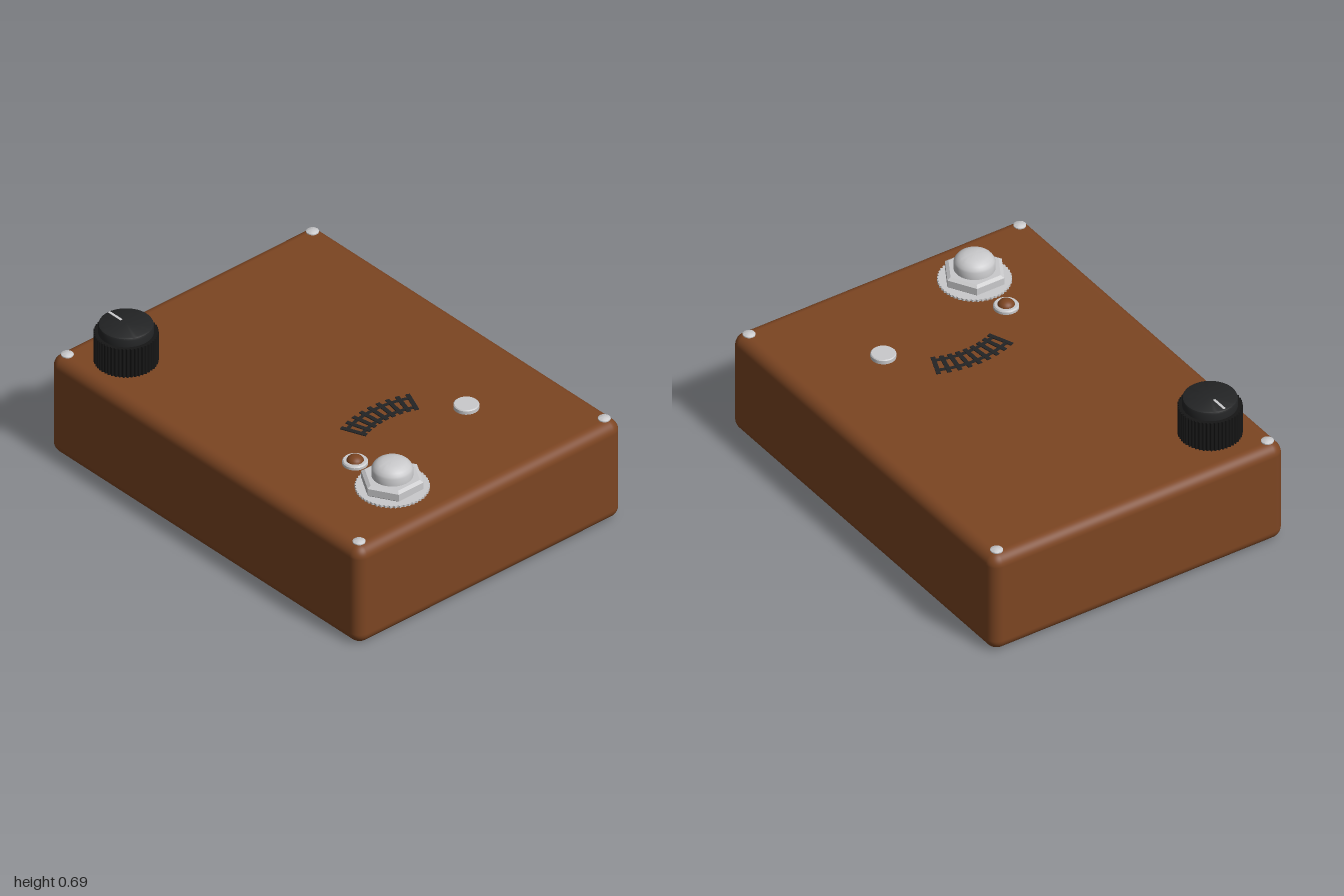
import * as THREE from 'three';
import { toCreasedNormals } from 'three/addons/utils/BufferGeometryUtils.js';
import { RoundedBoxGeometry } from 'three/addons/geometries/RoundedBoxGeometry.js';

const TOP = 0.5; // height of the case lid

function material(name, color) {
  const m = new THREE.MeshStandardMaterial({ color });
  m.name = name;
  return m;
}

function add(parent, name, geometry, mat, x = 0, y = 0, z = 0) {
  const mesh = new THREE.Mesh(geometry, mat);
  mesh.name = name;
  mesh.position.set(x, y, z);
  parent.add(mesh);
  return mesh;
}

// Turned part from [radius, height] pairs, bottom to top, with sharp creases kept
function turned(profile, sides = 40, crease = 0.6, start = 0) {
  const points = profile.map(([r, y]) => new THREE.Vector2(r, y));
  return toCreasedNormals(new THREE.LatheGeometry(points, sides, start), crease);
}

// Upright disc with a finely toothed rim
function toothedDisc(inner, outer, teeth, height) {
  const shape = new THREE.Shape();
  for (let i = 0; i < teeth * 4; i++) {
    const a = (i / (teeth * 4)) * Math.PI * 2;
    const r = i % 4 < 2 ? outer : inner;
    shape[i ? 'lineTo' : 'moveTo'](r * Math.cos(a), r * Math.sin(a));
  }
  shape.closePath();
  return new THREE.ExtrudeGeometry(shape, { depth: height, bevelEnabled: false }).rotateX(-Math.PI / 2);
}

// Flat arc band centred on the -z direction
function arcBand(radius, width, halfAngle) {
  const shape = new THREE.Shape();
  const mid = Math.PI / 2;
  shape.absarc(0, 0, radius + width / 2, mid - halfAngle, mid + halfAngle, false);
  shape.absarc(0, 0, radius - width / 2, mid + halfAngle, mid - halfAngle, true);
  shape.closePath();
  return new THREE.ExtrudeGeometry(shape, { depth: 0.003, bevelEnabled: false, curveSegments: 24 }).rotateX(-Math.PI / 2);
}

export function createModel() {
  const model = new THREE.Group();
  model.name = 'effectPedal';
  const brown = material('caseBrown', 0x7c4522);
  const metal = material('brightMetal', 0xcacacc);
  const black = material('knobBlack', 0x161616);
  const charcoal = material('charcoal', 0x232425);

  // Case
  add(model, 'case', new RoundedBoxGeometry(1.514, TOP, 2, 6, 0.055), brown, 0, TOP / 2, 0);

  // Corner screws
  const screw = turned([[0.028, 0], [0.028, 0.005], [0.021, 0.01], [0, 0.011]], 16);
  for (const x of [-0.7, 0.7]) {
    for (const z of [-0.943, 0.94]) add(model, 'cornerScrew', screw, metal, x, TOP, z);
  }

  // Control knob
  const knob = new THREE.Group();
  knob.name = 'controlKnob';
  knob.position.set(-0.535, TOP, -0.75);
  model.add(knob);
  add(knob, 'knobGrip', toothedDisc(0.134, 0.14, 50, 0.145), black);
  add(knob, 'knobCap', turned([[0.12, 0.14], [0.12, 0.178], [0.117, 0.185], [0.11, 0.189], [0, 0.189]], 48), charcoal);
  add(knob, 'knobPointer', new THREE.BoxGeometry(0.012, 0.004, 0.08), metal, 0, 0.189, -0.07);

  // Foot switch: washer, hexagonal nut and domed button
  const footSwitch = new THREE.Group();
  footSwitch.name = 'footSwitch';
  footSwitch.position.set(-0.32, TOP, 0.725);
  model.add(footSwitch);
  add(footSwitch, 'toothedWasher', toothedDisc(0.156, 0.161, 48, 0.01), metal);
  const nut = [[0.128, 0.01], [0.141, 0.02], [0.141, 0.054], [0.124, 0.064], [0, 0.064]];
  add(footSwitch, 'hexNut', turned(nut, 6, 0.2, Math.PI / 6), metal);
  const button = [[0.09, 0.064], [0.09, 0.098], [0.086, 0.108], [0.077, 0.12],
    [0.062, 0.131], [0.042, 0.137], [0.02, 0.14], [0, 0.141]];
  add(footSwitch, 'button', turned(button, 40, 0.8), metal);

  // Indicator lamp in its bezel
  const lamp = new THREE.Group();
  lamp.name = 'indicatorLamp';
  lamp.position.set(-0.32, TOP, 0.485);
  model.add(lamp);
  add(lamp, 'lampBezel', turned([[0.056, 0], [0.056, 0.012], [0.051, 0.018], [0.038, 0.018], [0.038, 0]], 32), metal);
  const dome = new THREE.SphereGeometry(0.038, 24, 8, 0, Math.PI * 2, 0, Math.PI / 2).scale(1, 0.75, 1);
  add(lamp, 'lampDome', dome, brown, 0, 0.012, 0);

  // Plain metal cap beside the lamp
  add(model, 'metalCap', turned([[0.056, 0], [0.056, 0.017], [0.052, 0.021], [0, 0.021]], 32), metal, 0.315, TOP, 0.485);

  // Curved track emblem: two rails crossed by nine ties
  const track = new THREE.Group();
  track.name = 'trackEmblem';
  track.position.set(0, TOP, 0.712);
  model.add(track);
  for (const radius of [0.474, 0.402]) add(track, 'rail', arcBand(radius, 0.016, 0.4), charcoal);
  const tie = new THREE.BoxGeometry(0.02, 0.004, 0.122);
  for (let i = -4; i <= 4; i++) {
    const a = i * 0.097;
    add(track, 'tie', tie, charcoal, Math.sin(a) * 0.441, 0.002, -Math.cos(a) * 0.441).rotation.y = -a;
  }

  return model;
}
